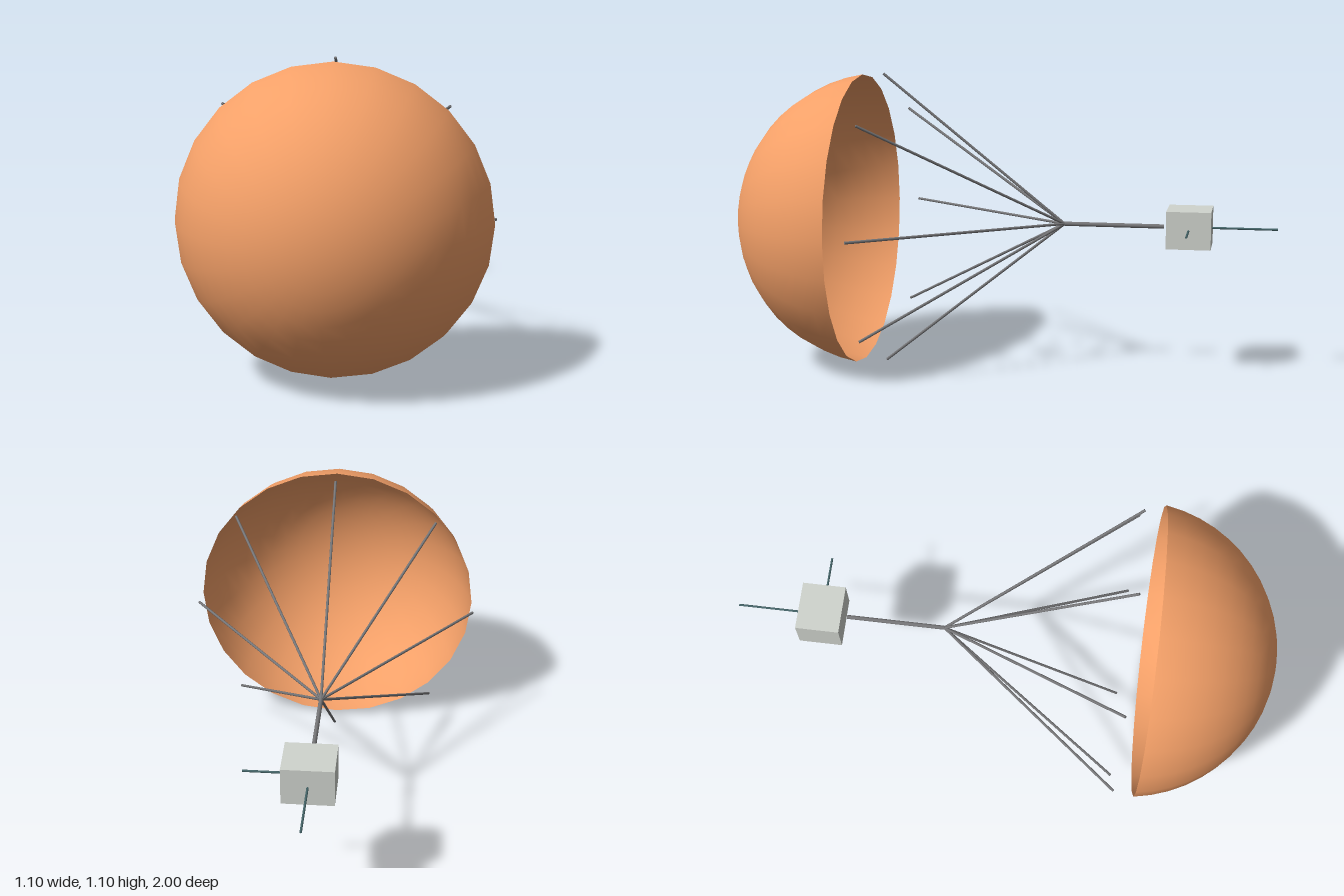
import * as THREE from 'three';

const Y = 0.55; // height of the central axis

const mat = (color, side = THREE.FrontSide) => new THREE.MeshStandardMaterial({ color, side });

// Thin round rod between two points
function rod(name, a, b, radius, material) {
  const dir = new THREE.Vector3().subVectors(b, a);
  const mesh = new THREE.Mesh(new THREE.CylinderGeometry(radius, radius, dir.length(), 8), material);
  mesh.position.addVectors(a, b).multiplyScalar(0.5);
  mesh.quaternion.setFromUnitVectors(new THREE.Vector3(0, 1, 0), dir.normalize());
  mesh.name = name;
  return mesh;
}

export function createModel() {
  const model = new THREE.Group();
  model.name = 'domeOnRibs';
  const metal = mat(0x777779);
  const pinMat = mat(0x46666a);
  const v = (x, y, z) => new THREE.Vector3(x, y, z);

  // Open shell: sphere cap with its pole turned to the front
  const R = 0.546, cz = 0.454;
  const shell = new THREE.Mesh(
    new THREE.SphereGeometry(R, 24, 12, 0, Math.PI * 2, 0, Math.acos(0.081 / R)).rotateX(Math.PI / 2),
    mat(0xf4a068, THREE.DoubleSide));
  shell.position.set(0, Y, cz);
  shell.name = 'domeShell';
  model.add(shell);

  // Eight ribs fanning out from the hub
  const hub = v(0, Y, -0.227);
  const ribs = new THREE.Group();
  ribs.name = 'ribs';
  for (let i = 0; i < 8; i++) {
    const a = (i * Math.PI) / 4;
    ribs.add(rod('rib', hub, v(0.544 * Math.cos(a), Y + 0.544 * Math.sin(a), cz), 0.005, metal));
  }
  model.add(ribs);

  // Stem from the hub back to the box
  model.add(rod('stem', hub, v(0, Y, -0.592), 0.008, metal));

  // Box
  const box = new THREE.Mesh(new THREE.BoxGeometry(0.18, 0.136, 0.16), mat(0xd0d4ce));
  box.position.set(0, Y, -0.685);
  box.name = 'box';
  model.add(box);

  // Pins out of the back and the left side of the box
  model.add(rod('backPin', v(0, Y, -0.76), v(0, Y, -1), 0.004, pinMat));
  model.add(rod('sidePin', v(0.085, Y, -0.685), v(0.226, Y, -0.685), 0.004, pinMat));
  return model;
}
